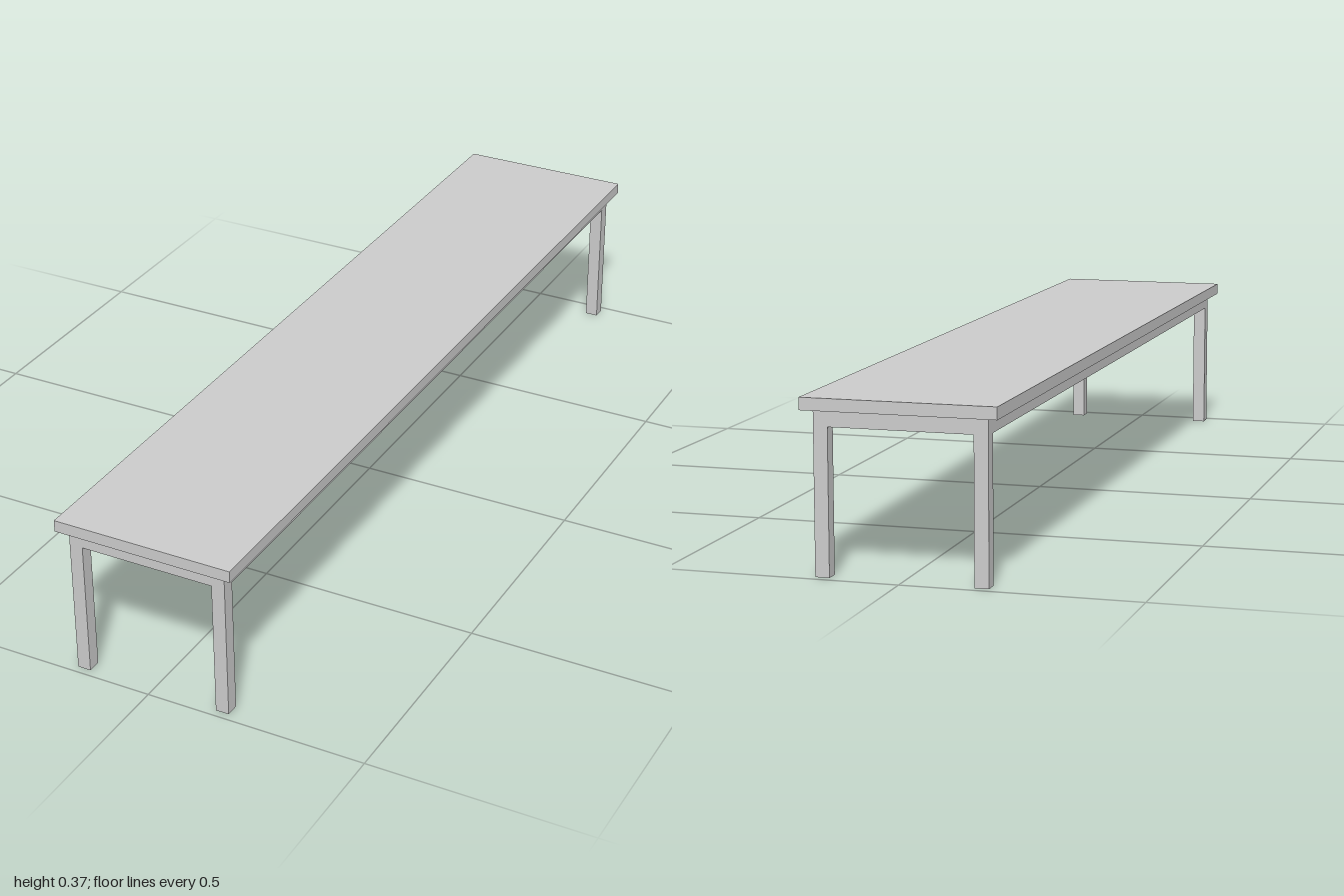
import * as THREE from 'three';

const TOP = { w: 0.408, h: 0.026, d: 2, y: 0.339 }; // slab size and underside height
const LEG = 0.03;                                    // square leg and rail thickness
const RAIL_H = 0.034;
const X = 0.166, Z = 0.968;                          // leg centre lines

export function createModel() {
  const group = new THREE.Group();
  const material = new THREE.MeshStandardMaterial({ color: 0xcccccc });

  // Box standing on height y
  const box = (name, w, h, d, x, y, z) => {
    const mesh = new THREE.Mesh(new THREE.BoxGeometry(w, h, d), material);
    mesh.name = name;
    mesh.position.set(x, y + h / 2, z);
    group.add(mesh);
  };

  box('tableTop', TOP.w, TOP.h, TOP.d, 0, TOP.y, 0);

  // Four corner legs reaching up to the slab
  for (const [sideName, sx] of [['Left', 1], ['Right', -1]])
    for (const [endName, sz] of [['front', 1], ['back', -1]])
      box(`${endName}${sideName}Leg`, LEG, TOP.y, LEG, sx * X, 0, sz * Z);

  // Apron rails between the legs, flush with their faces
  const railY = TOP.y - RAIL_H;
  for (const [name, s] of [['left', 1], ['right', -1]])
    box(`${name}Rail`, LEG, RAIL_H, 2 * Z - LEG, s * X, railY, 0);
  for (const [name, s] of [['front', 1], ['back', -1]])
    box(`${name}Rail`, 2 * X - LEG, RAIL_H, LEG, 0, railY, s * Z);

  return group;
}
